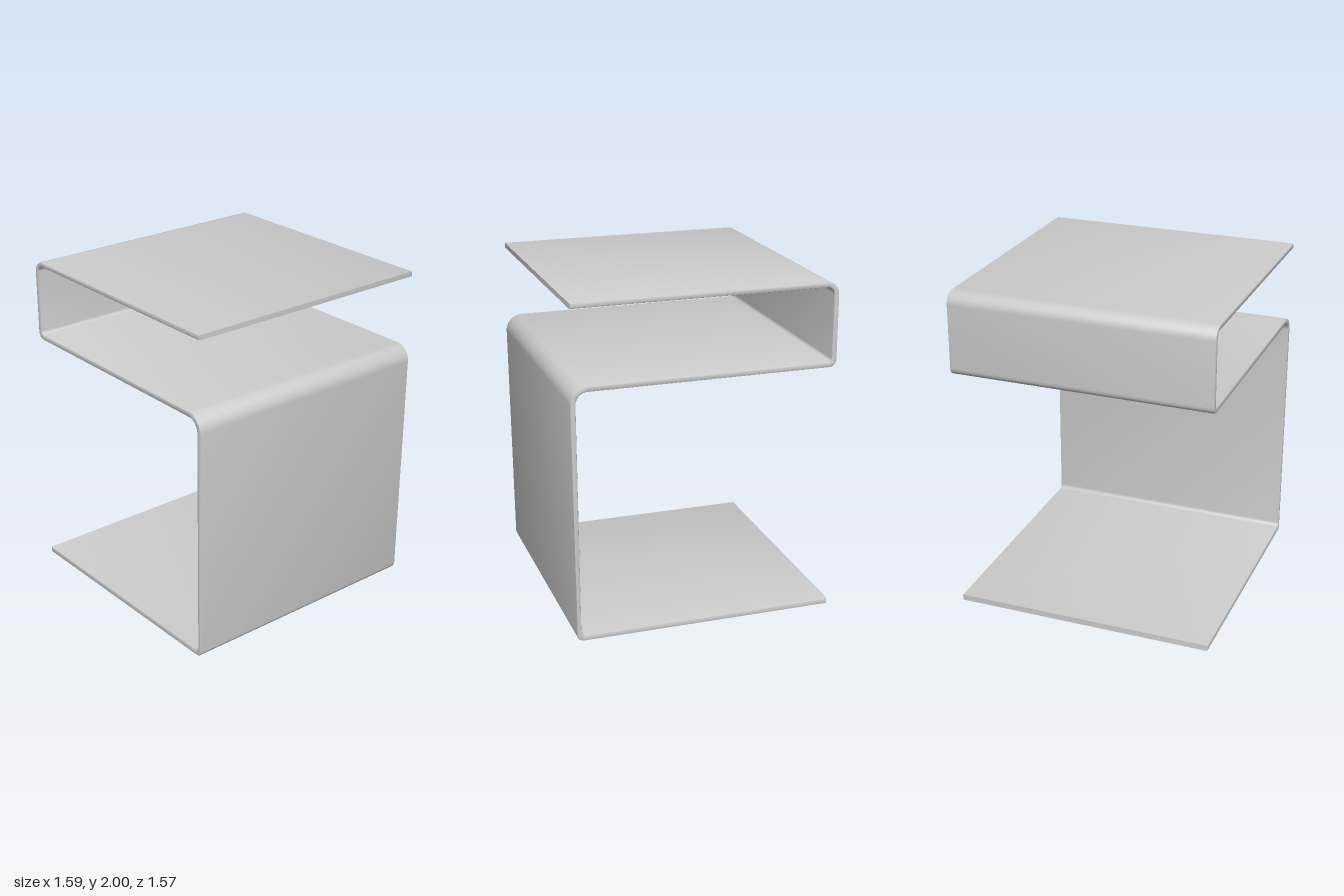
import * as THREE from 'three';
import { toCreasedNormals } from 'three/addons/utils/BufferGeometryUtils.js';

const WIDTH = 1.585;
const BEVEL = 0.008;

// Closed shape from corners [z, y, radius]
function roundedOutline(corners) {
  const shape = new THREE.Shape();
  const n = corners.length;
  corners.forEach(([z, y, r], i) => {
    const p = new THREE.Vector2(z, y);
    const towards = ([tz, ty], d) => new THREE.Vector2(tz, ty).sub(p).setLength(d).add(p);
    const prev = corners[(i + n - 1) % n];
    const next = corners[(i + 1) % n];
    const a = r ? towards(prev, r) : p;
    if (i === 0) shape.moveTo(a.x, a.y);
    else shape.lineTo(a.x, a.y);
    if (r) {
      const b = towards(next, r);
      const c1 = towards(prev, r * 0.448);
      const c2 = towards(next, r * 0.448);
      shape.bezierCurveTo(c1.x, c1.y, c2.x, c2.y, b.x, b.y);
    }
  });
  return shape;
}

export function createModel() {
  const group = new THREE.Group();
  group.name = 'foldedSideTable';

  // Side profile of one folded sheet: base, front wall, shelf, back wall, top
  const profile = roundedOutline([
    [-0.785, 0, 0],
    [0.775, 0, 0.04],
    [0.79, 1.533, 0.1],
    [-0.753, 1.533, 0.02],
    [-0.753, 1.97, 0.04],
    [0.78, 1.97, 0],
    [0.78, 2, 0],
    [-0.785, 2, 0.075],
    [-0.785, 1.5, 0.045],
    [0.757, 1.5, 0.07],
    [0.75, 0.036, 0.025],
    [-0.785, 0.036, 0],
  ]);

  // Sweep across the width, with softened side edges
  const depth = WIDTH - 2 * BEVEL;
  const geometry = new THREE.ExtrudeGeometry(profile, {
    depth,
    curveSegments: 12,
    bevelEnabled: true,
    bevelSize: BEVEL,
    bevelThickness: BEVEL,
    bevelOffset: -BEVEL,
    bevelSegments: 2,
  });
  geometry.translate(0, 0, -depth / 2);
  geometry.rotateY(-Math.PI / 2);

  const sheet = new THREE.Mesh(
    toCreasedNormals(geometry, 0.5),
    new THREE.MeshStandardMaterial({ color: 0xcccccc })
  );
  sheet.name = 'foldedSheet';
  group.add(sheet);
  return group;
}
